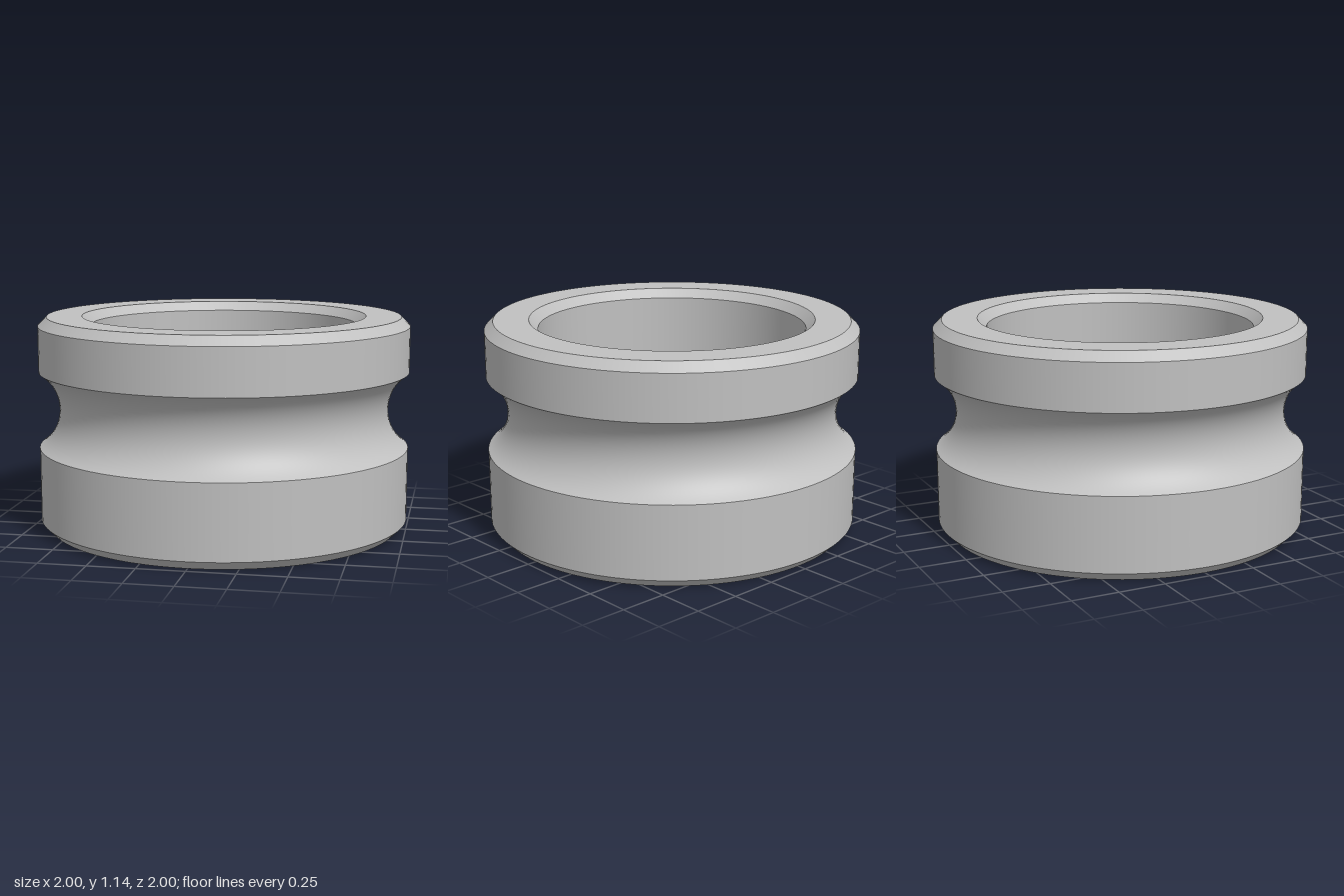
import * as THREE from 'three';

const SEGMENTS = 128;

export function createModel() {
  const group = new THREE.Group();
  group.name = 'groovedRing';
  const metal = new THREE.MeshStandardMaterial({ color: 0xc0c0c0 });
  metal.name = 'grey metal';

  const outer = 1, inner = 0.715, height = 1.145, chamfer = 0.048;
  const grooveLow = 0.442, grooveHigh = 0.852, grooveDepth = 0.11;

  // Circular arc of the groove, from its lower edge to its upper edge
  const half = (grooveHigh - grooveLow) / 2;
  const radius = (half * half + grooveDepth * grooveDepth) / (2 * grooveDepth);
  const sweep = Math.asin(half / radius);
  const arc = [];
  for (let i = 0; i <= 24; i++) {
    const a = sweep * (i / 12 - 1);
    arc.push([
      outer - grooveDepth + radius * (1 - Math.cos(a)),
      grooveLow + half + radius * Math.sin(a),
    ]);
  }

  // Each band is its own lathe, so the edges between bands stay sharp
  const bands = {
    bottomOuterChamfer: [[outer - chamfer, 0], [outer, chamfer]],
    lowerRim: [[outer, chamfer], [outer, grooveLow]],
    groove: arc,
    upperRim: [[outer, grooveHigh], [outer, height - chamfer]],
    topOuterChamfer: [[outer, height - chamfer], [outer - chamfer, height]],
    topFace: [[outer - chamfer, height], [inner + chamfer, height]],
    topInnerChamfer: [[inner + chamfer, height], [inner, height - chamfer]],
    bore: [[inner, height - chamfer], [inner, chamfer]],
    bottomInnerChamfer: [[inner, chamfer], [inner + chamfer, 0]],
    bottomFace: [[inner + chamfer, 0], [outer - chamfer, 0]],
  };
  for (const [name, profile] of Object.entries(bands)) {
    const points = profile.map(([r, y]) => new THREE.Vector2(r, y));
    const mesh = new THREE.Mesh(new THREE.LatheGeometry(points, SEGMENTS), metal);
    mesh.name = name;
    group.add(mesh);
  }
  return group;
}
